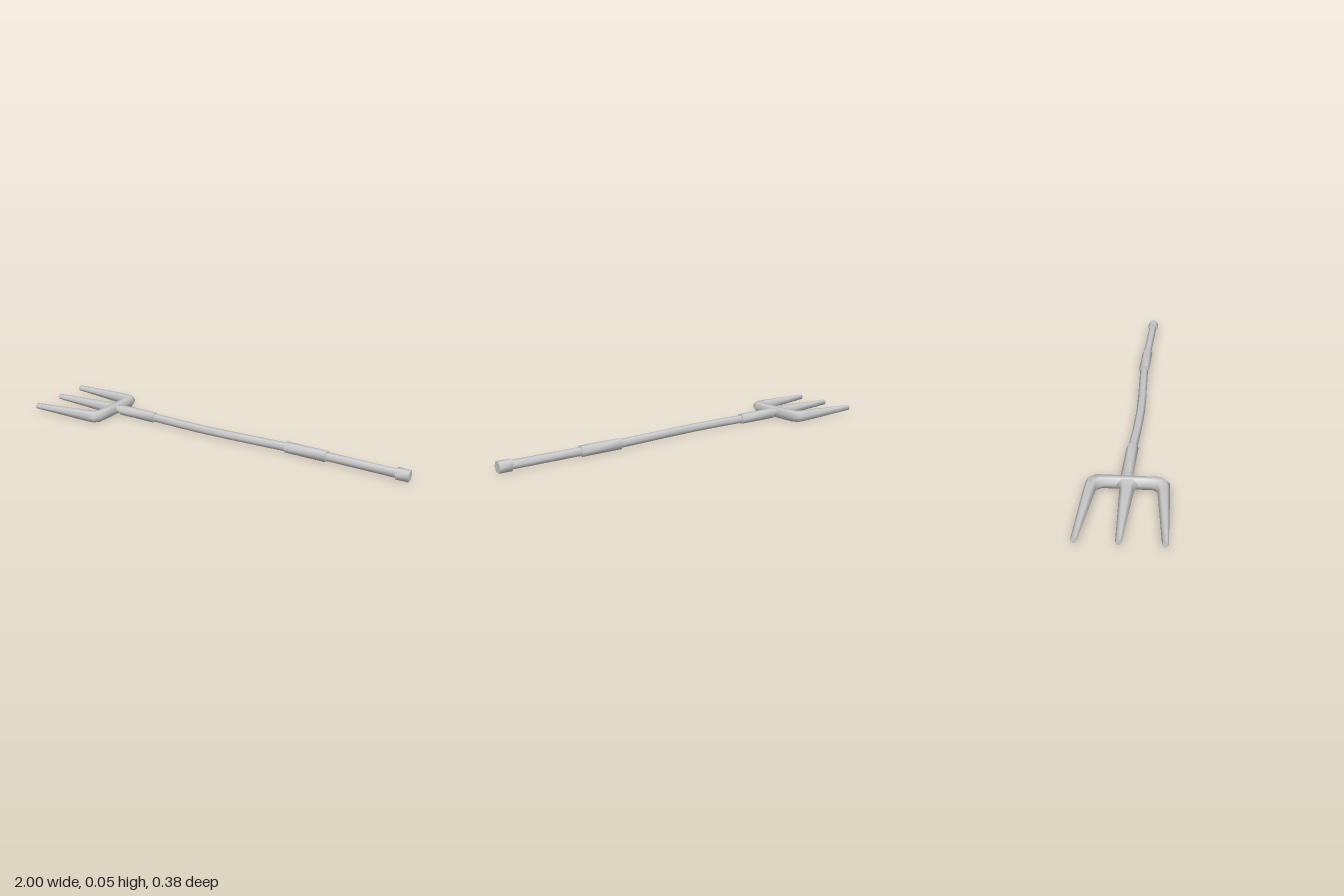
import * as THREE from 'three';

const Y = 0.027; // height of the fork's centre plane
const material = new THREE.MeshStandardMaterial({ color: 0xcccccc });

// Sweeps a hexagonal section lying between two edge points in plan.
// Each section: [x, z of one edge, x, z of the other edge, half height]
function hexSweep(name, sections) {
  const pos = [], index = [];
  const ring = ([x0, z0, x1, z1, h]) => {
    for (const [t, s] of [[0, 0], [0.25, 1], [0.75, 1], [1, 0], [0.75, -1], [0.25, -1]]) {
      pos.push(x0 + (x1 - x0) * t, Y + s * h, z0 + (z1 - z0) * t);
    }
  };
  sections.forEach(ring);
  const n = sections.length;
  for (let i = 0; i < n - 1; i++) {
    for (let j = 0; j < 6; j++) {
      const a = i * 6 + j, b = i * 6 + (j + 1) % 6;
      index.push(a, b, a + 6, b, b + 6, a + 6);
    }
  }
  // end caps have their own vertices so their edges stay sharp
  ring(sections[0]);
  ring(sections[n - 1]);
  const s = n * 6, e = s + 6;
  for (let j = 1; j < 5; j++) {
    index.push(s, s + j + 1, s + j, e, e + j, e + j + 1);
  }
  const geo = new THREE.BufferGeometry();
  geo.setAttribute('position', new THREE.Float32BufferAttribute(pos, 3));
  geo.setIndex(index);
  geo.computeVertexNormals();
  const mesh = new THREE.Mesh(geo, material);
  mesh.name = name;
  return mesh;
}

// Hexagonal rod along a list of [x, z] points
const rod = (name, r, points) =>
  hexSweep(name, points.map(([x, z]) => [x, z - r, x, z + r, r * 0.87]));

export function createModel() {
  const group = new THREE.Group();
  group.name = 'pitchfork';

  // Outer prongs and crossbar as one bent bar
  const side = [
    [-1, -0.19, -1, -0.164, 0.013],
    [-0.66, -0.182, -0.68, -0.13, 0.026],
    [-0.612, -0.179, -0.655, -0.121, 0.027],
    [-0.59, -0.15, -0.639, -0.098, 0.027],
    [-0.59, -0.05, -0.639, -0.05, 0.027],
  ];
  const mirrored = side.map(([a, b, c, d, h]) => [a, -b, c, -d, h]).reverse();
  group.add(hexSweep('outerProngsAndCrossbar', [...side, ...mirrored]));

  // Middle prong, flared where it meets the crossbar
  group.add(hexSweep('middleProng', [
    [-1, -0.016, -1, 0.009, 0.013],
    [-0.67, -0.031, -0.67, 0.031, 0.025],
    [-0.642, -0.045, -0.642, 0.045, 0.0262],
    [-0.615, -0.055, -0.615, 0.055, 0.0262],
  ]));

  // Slightly crooked shaft
  group.add(rod('shaft', 0.021, [
    [-0.61, -0.009], [-0.35, -0.001], [-0.2, 0.008], [-0.04, 0.013],
    [0.1, 0.011], [0.4, 0.001], [0.61, 0.005], [0.97, 0.018],
  ]));

  // Sleeves and end cap
  group.add(rod('frontSleeve', 0.027, [[-0.573, -0.008], [-0.35, -0.001]]));
  group.add(rod('rearSleeve', 0.027, [[0.4, 0], [0.61, 0.006]]));
  group.add(rod('endCap', 0.028, [[0.94, 0.016], [1, 0.018]]));
  return group;
}
